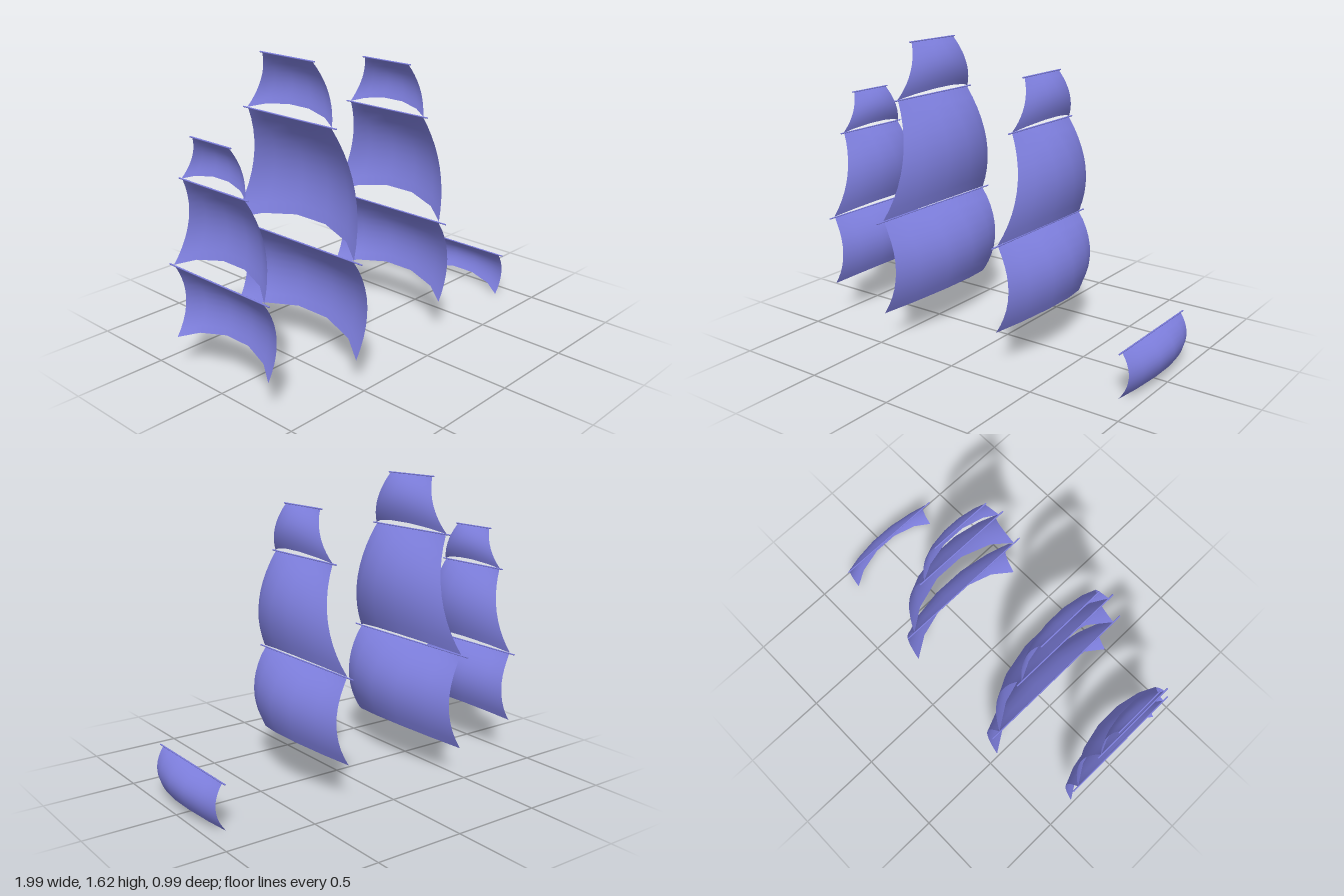
import * as THREE from 'three';

const canvas = new THREE.MeshStandardMaterial({ color: 0x7f80e0, side: THREE.DoubleSide });
canvas.name = 'periwinkle canvas';

// Columns across a sail: [fraction of half width, how far it fills out]
const COLUMNS = [[-1, 0], [-0.7, 0.6], [-0.24, 1], [0.24, 1], [0.7, 0.6], [1, 0]];
const ROWS = 10;

// Billowing sheet hung from (x, top), bulging towards +x
function sailGeometry({ x, top, bottom, zTop, zBottom, depth, rise, rake = 0 }) {
  const pos = [], index = [], n = COLUMNS.length;
  for (let r = 0; r <= ROWS; r++) {
    const v = r / ROWS;
    const middle = depth * v * (3.543 - 3.714 * v + 0.97 * v * v);
    const edge = depth * 0.48 * 4 * v * (1 - v);
    const half = zTop + (zBottom - zTop) * (zBottom - zTop < 0.05 ? Math.sqrt(v) : v);
    for (const [u, fill] of COLUMNS) {
      pos.push(
        x + rake * v + edge + (middle - edge) * fill,
        top + (bottom - top) * v + rise * fill * v,
        u * half);
    }
  }
  for (let r = 0; r < ROWS; r++) {
    for (let c = 0; c < n - 1; c++) {
      const a = r * n + c, d = a + n;
      index.push(a, a + 1, d, a + 1, d + 1, d);
    }
  }
  const g = new THREE.BufferGeometry();
  g.setAttribute('position', new THREE.Float32BufferAttribute(pos, 3));
  g.setIndex(index);
  g.computeVertexNormals();
  return g;
}

// A sail together with the thin yard it hangs from
function riggedSail(name, spec) {
  const group = new THREE.Group();
  group.name = name;
  const sail = new THREE.Mesh(sailGeometry(spec), canvas);
  sail.name = name + 'Sheet';
  const yard = new THREE.Mesh(new THREE.CylinderGeometry(0.004, 0.004, spec.yard * 2, 8), canvas);
  yard.name = name + 'Yard';
  yard.rotation.x = Math.PI / 2;
  yard.position.set(spec.x, spec.top, 0);
  group.add(sail, yard);
  return group;
}

// Each sail: [top, bottom, zTop, zBottom, depth, rise, yard half length]
const MASTS = [
  { name: 'mizzen', x: -0.995, sails: [
    [0.595, 0.195, 0.33, 0.345, 0.135, 0.06, 0.37],
    [1.075, 0.6, 0.225, 0.335, 0.135, 0.06, 0.25],
    [1.3, 1.077, 0.13, 0.23, 0.065, 0.035, 0.145]] },
  { name: 'main', x: -0.508, sails: [
    [0.685, 0.16, 0.435, 0.454, 0.182, 0.068, 0.493],
    [1.325, 0.69, 0.295, 0.44, 0.178, 0.066, 0.33],
    [1.625, 1.328, 0.175, 0.3, 0.09, 0.04, 0.19]] },
  { name: 'fore', x: 0.216, sails: [
    [0.675, 0.212, 0.38, 0.398, 0.155, 0.062, 0.432],
    [1.235, 0.68, 0.26, 0.385, 0.155, 0.068, 0.29],
    [1.5, 1.237, 0.155, 0.262, 0.077, 0.04, 0.17]] },
];
const TIERS = ['Course', 'Topsail', 'Topgallant'];

export function createModel() {
  const model = new THREE.Group();
  model.name = 'shipSails';

  for (const mast of MASTS) {
    const group = new THREE.Group();
    group.name = mast.name + 'MastSails';
    mast.sails.forEach(([top, bottom, zTop, zBottom, depth, rise, yard], i) => {
      group.add(riggedSail(mast.name + TIERS[i],
        { x: mast.x, top, bottom, zTop, zBottom, depth, rise, yard }));
    });
    model.add(group);
  }

  // Small sail under the bow
  model.add(riggedSail('spritsail', {
    x: 0.905, top: 0.257, bottom: 0.005, zTop: 0.31, zBottom: 0.31,
    depth: 0.1, rise: 0.05, yard: 0.338, rake: -0.015,
  }));
  return model;
}
